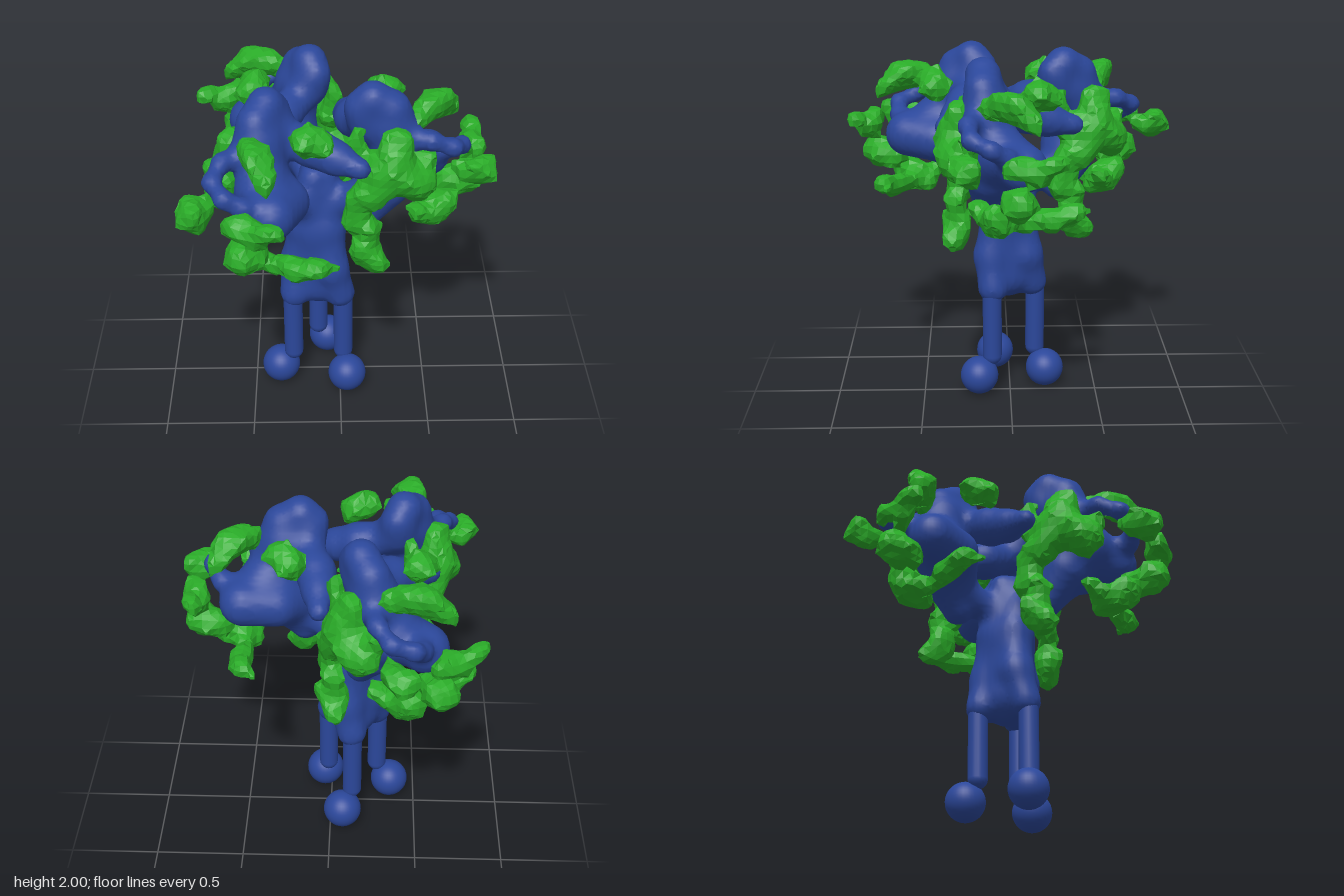
import * as THREE from 'three';

const CX = -0.127, CZ = 0.02; // axis of the threefold symmetry
const blue = new THREE.MeshStandardMaterial({ color: 0x2b479a });
const green = new THREE.MeshStandardMaterial({ color: 0x2aac28, flatShading: true });

// Chains of [x, y, z, radius] become tapered limbs
const limbs = (chains) => chains.flatMap((c) => c.slice(1).map((b, i) => [c[i], b]));

function limbDistance(x, y, z, [a, b]) {
  const dx = b[0] - a[0], dy = b[1] - a[1], dz = b[2] - a[2];
  let t = ((x - a[0]) * dx + (y - a[1]) * dy + (z - a[2]) * dz) / (dx * dx + dy * dy + dz * dz);
  t = Math.min(1, Math.max(0, t));
  return Math.hypot(x - a[0] - t * dx, y - a[1] - t * dy, z - a[2] - t * dz) - a[3] - t * (b[3] - a[3]);
}

function smoothMin(a, b, k) {
  const h = Math.max(k - Math.abs(a - b), 0) / k;
  return Math.min(a, b) - h * h * k * 0.25;
}

function blend(list, k) {
  return (x, y, z) => {
    let d = 9;
    for (const l of list) d = smoothMin(d, limbDistance(x, y, z, l), k);
    return d;
  };
}

// Skin a distance field with one vertex per crossed cell
function skin(field, min, max, cell) {
  const n = min.map((m, i) => Math.ceil((max[i] - m) / cell) + 1);
  const step = [1, n[0], n[0] * n[1]];
  const val = new Float32Array(n[0] * n[1] * n[2]);
  const vert = new Int32Array(val.length).fill(-1);
  const pos = [], index = [];
  const each = (lo, hi, fn) => {
    for (let k = lo; k < n[2] - hi; k++)
      for (let j = lo; j < n[1] - hi; j++)
        for (let i = lo; i < n[0] - hi; i++) fn([i, j, k], i + j * step[1] + k * step[2]);
  };
  each(0, 0, (p, id) => { val[id] = field(...p.map((v, a) => min[a] + v * cell)); });
  each(0, 1, (p, id) => {
    const sum = [0, 0, 0];
    let count = 0;
    for (let c = 0; c < 8; c++) {
      const bits = [c & 1, (c >> 1) & 1, c >> 2];
      const o = id + bits[0] + bits[1] * step[1] + bits[2] * step[2];
      for (let a = 0; a < 3; a++) {
        if (bits[a]) continue;
        const v0 = val[o], v1 = val[o + step[a]];
        if ((v0 < 0) === (v1 < 0)) continue;
        for (let q = 0; q < 3; q++) sum[q] += bits[q] + (q === a ? v0 / (v0 - v1) : 0);
        count++;
      }
    }
    if (!count) return;
    vert[id] = pos.length / 3;
    for (let a = 0; a < 3; a++) pos.push(min[a] + (p[a] + sum[a] / count) * cell);
  });
  each(1, 1, (p, id) => {
    for (let a = 0; a < 3; a++) {
      const inside = val[id] < 0;
      if (inside === (val[id + step[a]] < 0)) continue;
      const b = step[(a + 1) % 3], c = step[(a + 2) % 3];
      const q = [id - b - c, id - c, id, id - b].map((i) => vert[i]);
      if (!inside) q.reverse();
      index.push(q[0], q[1], q[2], q[0], q[2], q[3]);
    }
  });
  const g = new THREE.BufferGeometry();
  g.setAttribute('position', new THREE.Float32BufferAttribute(pos, 3));
  g.setIndex(index);
  g.computeVertexNormals();
  return g;
}

// One third of the trunk and crown
const bodyLimbs = limbs([
  // trunk core and ridge
  [[CX, 0.7, CZ, 0.14], [CX, 1.05, CZ, 0.13], [-0.09, 1.38, CZ, 0.08]],
  [[0.0, 0.64, 0.1, 0.085], [-0.05, 0.82, 0.11, 0.09], [-0.07, 1.08, 0.07, 0.09], [-0.09, 1.3, 0.04, 0.08]],
  // branch from the trunk
  [[-0.06, 1.2, 0.05, 0.07], [0.15, 1.33, 0.1, 0.09]],
  // hump
  [[0.1, 1.87, 0.15, 0.08], [0.17, 1.91, 0.15, 0.085], [0.27, 1.85, 0.15, 0.09], [0.34, 1.68, 0.14, 0.1]],
  [[0.14, 1.8, 0.13, 0.11], [0.26, 1.74, 0.13, 0.12], [0.3, 1.5, 0.1, 0.15]],
  // main mass
  [[0.25, 1.42, 0.07, 0.15], [0.37, 1.53, 0.06, 0.145]],
  [[0.3, 1.45, -0.04, 0.125], [0.48, 1.47, -0.06, 0.13]],
  [[0.24, 1.36, 0.12, 0.13], [0.15, 1.21, 0.13, 0.085]],
  // arm
  [[0.15, 1.75, 0.12, 0.09], [0.08, 1.68, -0.08, 0.1], [0.06, 1.64, -0.2, 0.085], [0.055, 1.61, -0.35, 0.055]],
  // handle loop
  [[0.3, 1.7, 0.17, 0.07], [0.48, 1.7, 0.23, 0.042], [0.6, 1.65, 0.215, 0.04], [0.655, 1.61, 0.11, 0.04],
    [0.6, 1.55, 0.03, 0.045], [0.48, 1.52, 0.02, 0.06]],
]);

// One third of the foliage
const leafLimbs = limbs([
  [[0.19, 1.79, -0.2, 0.075], [0.26, 1.82, -0.14, 0.08]],
  [[0.42, 1.78, 0.1, 0.07], [0.48, 1.82, 0.04, 0.07], [0.56, 1.8, -0.04, 0.065], [0.59, 1.75, -0.09, 0.07]],
  [[0.735, 1.57, -0.24, 0.045], [0.72, 1.51, -0.1, 0.07], [0.76, 1.54, 0.0, 0.055]],
  [[0.68, 1.53, 0.24, 0.075], [0.75, 1.53, 0.24, 0.085]],
  [[0.6, 1.32, -0.05, 0.075], [0.71, 1.34, -0.02, 0.09]],
  // low chunks
  [[0.42, 1.23, 0.18, 0.06], [0.46, 1.17, 0.08, 0.065], [0.57, 1.21, 0.07, 0.09]],
  // curved claw
  [[0.49, 1.18, 0.0, 0.05], [0.48, 1.2, -0.2, 0.065], [0.49, 1.22, -0.32, 0.05], [0.44, 1.23, -0.38, 0.04]],
  // large cluster with its spike and hanging end
  [[0.25, 1.58, 0.3, 0.11], [0.4, 1.49, 0.28, 0.1], [0.46, 1.6, 0.24, 0.06]],
  [[0.29, 1.73, 0.28, 0.08], [0.27, 1.6, 0.3, 0.11]],
  [[0.09, 1.76, 0.24, 0.04], [0.1, 1.58, 0.25, 0.055], [0.25, 1.55, 0.3, 0.08]],
  [[0.2, 1.48, 0.31, 0.1], [0.11, 1.4, 0.29, 0.08], [0.07, 1.25, 0.27, 0.06],
    [0.17, 1.21, 0.3, 0.05], [0.12, 1.07, 0.3, 0.08], [0.19, 0.99, 0.31, 0.065]],
]);

export function createModel() {
  const model = new THREE.Group();
  const add = (name, geometry, material, parent) => {
    const mesh = new THREE.Mesh(geometry, material);
    mesh.name = name;
    parent.add(mesh);
    return mesh;
  };

  // Trunk and crown, repeated around the axis and blended together
  const third = blend(bodyLimbs, 0.05);
  const S = Math.sqrt(3) / 2;
  const body = (x, y, z) => {
    const u = x - CX, w = z - CZ;
    const d = smoothMin(third(x, y, z), third(CX - u / 2 + S * w, y, CZ - S * u - w / 2), 0.02);
    return smoothMin(d, third(CX - u / 2 - S * w, y, CZ + S * u - w / 2), 0.02);
  };
  add('trunkAndCrown', skin(body, [-0.9, 0.5, -0.9], [0.8, 2.08, 0.9], 0.024), blue, model);

  // Angular foliage of one third
  const leaves = blend(leafLimbs, 0.025);
  const rough = (x, y, z) => leaves(x, y, z) - 0.004
    + 0.032 * Math.sin(27 * x + 11 * y) * Math.sin(25 * y - 9 * z + 2) * Math.sin(26 * z + 8 * x);
  const foliage = skin(rough, [-0.1, 0.85, -0.55], [0.98, 2.0, 0.55], 0.046);

  const leg = new THREE.CapsuleGeometry(0.055, 0.38, 6, 20);
  const foot = new THREE.SphereGeometry(0.11, 32, 20);
  for (let i = 0; i < 3; i++) {
    const sector = new THREE.Group();
    sector.name = 'sector' + (i + 1);
    sector.position.set(CX, 0, CZ);
    sector.rotation.y = (i * 2 * Math.PI) / 3;
    add('foliage', foliage, green, sector).position.set(-CX, 0, -CZ);
    add('leg', leg, blue, sector).position.set(0.145, 0.42, 0.084);
    add('foot', foot, blue, sector).position.set(0.167, 0.115, 0.16);
    model.add(sector);
  }
  return model;
}
